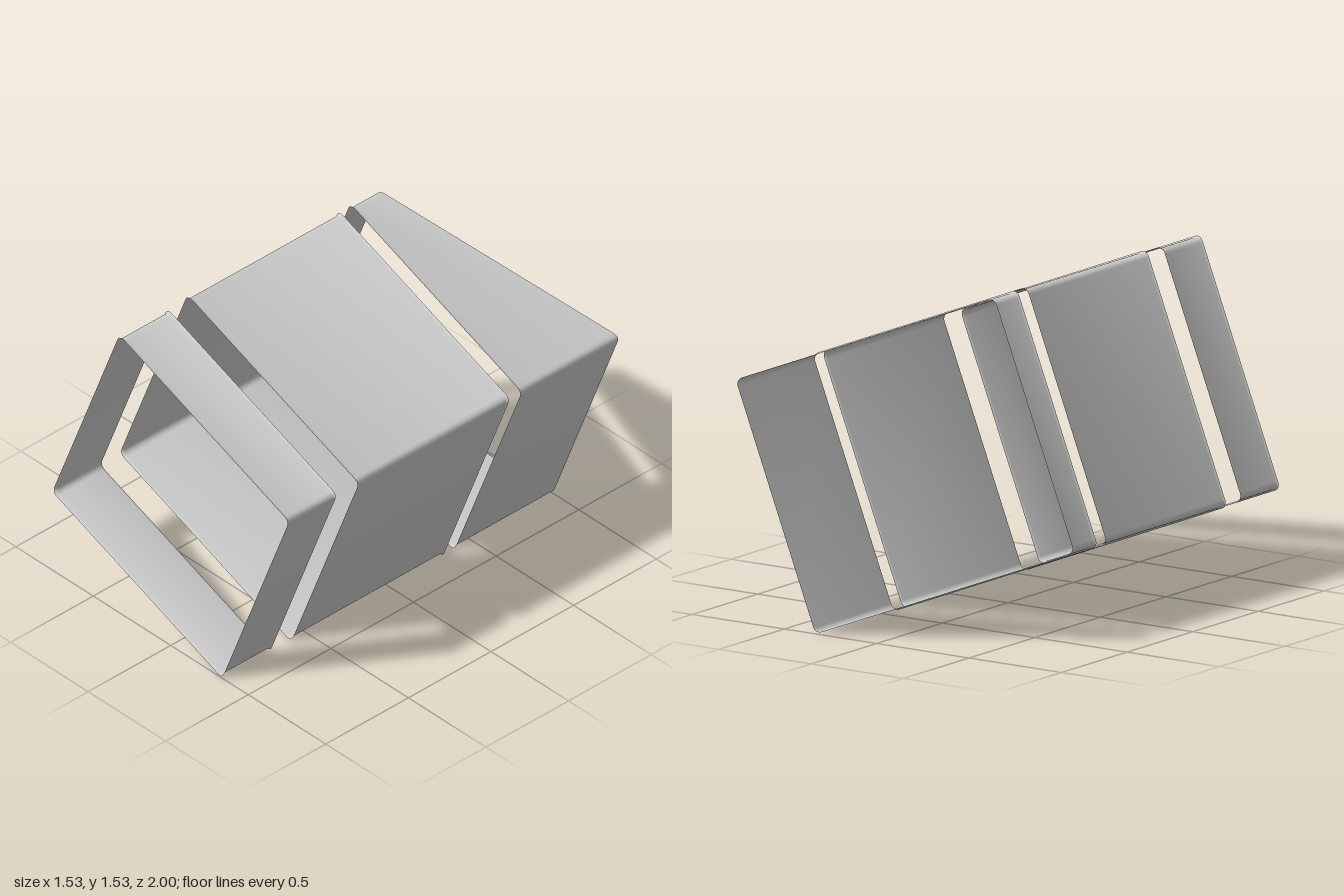
import * as THREE from 'three';
import { toCreasedNormals } from 'three/addons/utils/BufferGeometryUtils.js';

const TILT = -0.3757;      // roll of the square section about z
const CENTRE_Y = 0.767;
const CORNER_STEPS = 6;

// Rounded square, counter-clockwise seen from the front
function roundedSquare(half, radius) {
  const points = [];
  for (let corner = 0; corner < 4; corner++) {
    const mid = Math.PI / 4 + corner * Math.PI / 2;
    const cx = Math.sign(Math.cos(mid)) * (half - radius);
    const cy = Math.sign(Math.sin(mid)) * (half - radius);
    for (let i = 0; i <= CORNER_STEPS; i++) {
      const a = (corner + i / CORNER_STEPS) * Math.PI / 2;
      points.push([cx + Math.cos(a) * radius, cy + Math.sin(a) * radius]);
    }
  }
  return points;
}

// Open sleeve skinned through stations { half, z(u) } running front to back
function sleeve(name, stations) {
  const positions = [], index = [];
  const count = 4 * (CORNER_STEPS + 1);
  stations.forEach(({ half, z }, k) => {
    for (const [u, v] of roundedSquare(half, 0.03)) {
      positions.push(u, v, typeof z === 'function' ? z(u / half) : z);
    }
    if (k === 0) return;
    for (let i = 0; i < count; i++) {
      const j = (i + 1) % count;
      const a = (k - 1) * count + i, b = (k - 1) * count + j;
      const c = k * count + i, d = k * count + j;
      index.push(a, c, b, b, c, d);
    }
  });
  const geometry = new THREE.BufferGeometry();
  geometry.setAttribute('position', new THREE.Float32BufferAttribute(positions, 3));
  geometry.setIndex(index);
  const material = new THREE.MeshStandardMaterial({ color: 0xcccccc, side: THREE.DoubleSide });
  const mesh = new THREE.Mesh(toCreasedNormals(geometry, 0.4), material);
  mesh.name = name;
  return mesh;
}

// Slightly flared lip: dir = 1 for a front end, -1 for a back end
function lip(half, z, dir) {
  const steps = [
    { half: half + 0.006, z },
    { half: half + 0.002, z: z - dir * 0.006 },
    { half, z: z - dir * 0.013 },
  ];
  return dir > 0 ? steps : steps.reverse();
}

export function createModel() {
  const group = new THREE.Group();
  group.name = 'segmentedSquareDuct';

  // Narrow front ring and long middle sleeve, lipped at both ends
  group.add(sleeve('frontRing', [...lip(0.583, 1, 1), ...lip(0.583, 0.71, -1)]));
  group.add(sleeve('middleSleeve', [...lip(0.589, 0.585, 1), ...lip(0.589, -0.33, -1)]));

  // Rear sleeve with a lipped front and an obliquely cut back
  group.add(sleeve('rearSleeve', [
    ...lip(0.589, -0.4, 1),
    { half: 0.589, z: (u) => -0.785 - 0.215 * u },
  ]));

  group.children.forEach((mesh) => {
    mesh.rotation.z = TILT;
    mesh.position.y = CENTRE_Y;
  });
  return group;
}
